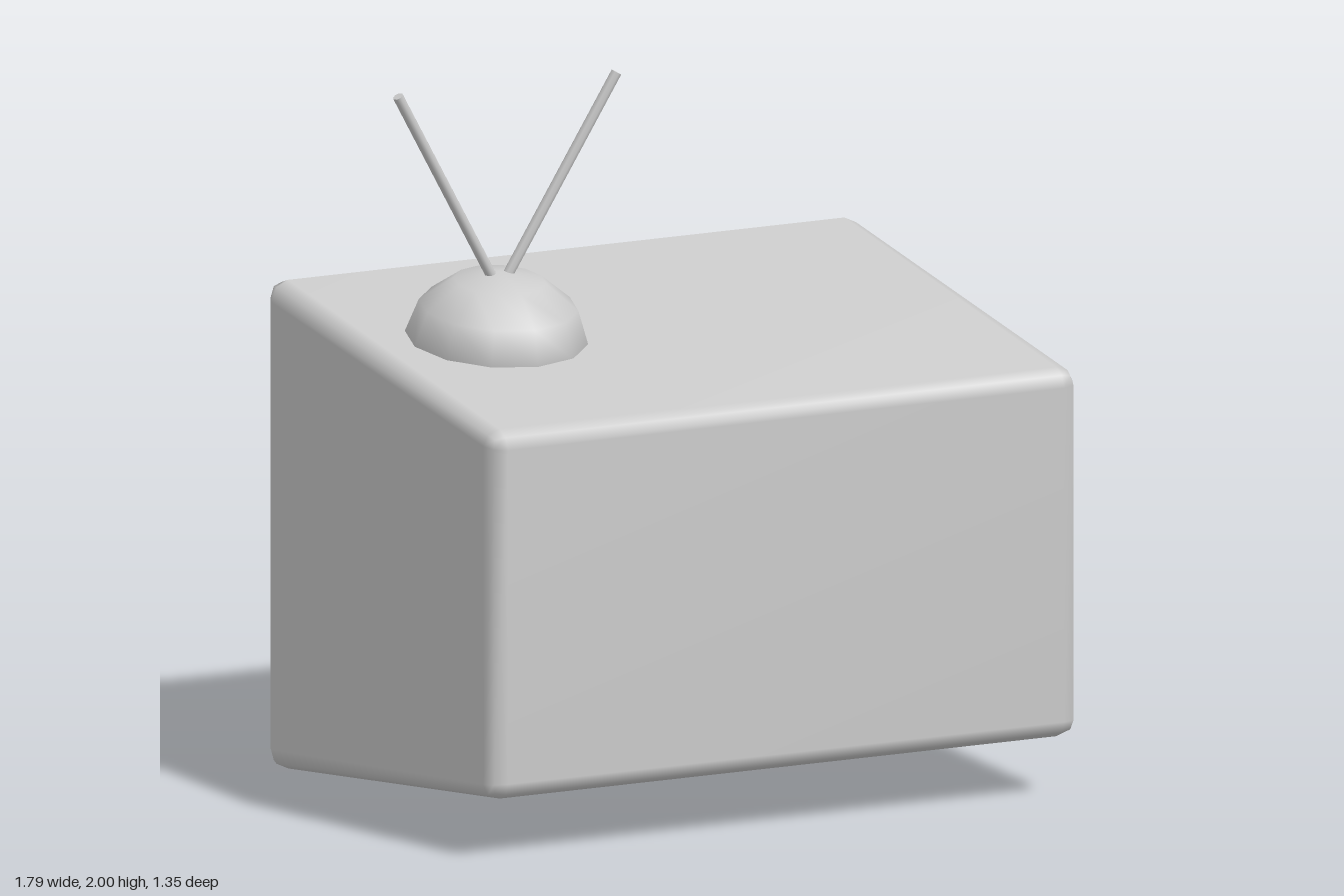
import * as THREE from 'three';
import { RoundedBoxGeometry } from 'three/addons/geometries/RoundedBoxGeometry.js';
import { mergeVertices } from 'three/addons/utils/BufferGeometryUtils.js';

const material = new THREE.MeshStandardMaterial({ color: 0xcccccc });

function addMesh(parent, name, geometry) {
  const mesh = new THREE.Mesh(geometry, material);
  mesh.name = name;
  parent.add(mesh);
  return mesh;
}

// Softly bevelled cabinet that grows taller towards the back
function cabinetGeometry() {
  const half = 0.594;
  const box = new RoundedBoxGeometry(1.79, half * 2, 1.35, 1, 0.05);
  const p = box.attributes.position;
  for (let i = 0; i < p.count; i++) {
    p.setY(i, p.getY(i) * (half - 0.132 * p.getZ(i)) / half);
  }
  box.deleteAttribute('normal');
  box.deleteAttribute('uv');
  const smooth = mergeVertices(box, 1e-4);
  smooth.computeVertexNormals();
  return smooth;
}

// Straight rod between two points
function addRod(parent, name, from, to, radius) {
  const dir = to.clone().sub(from);
  const rod = addMesh(parent, name, new THREE.CylinderGeometry(radius, radius, dir.length(), 8));
  rod.position.copy(from).add(to).multiplyScalar(0.5);
  rod.quaternion.setFromUnitVectors(new THREE.Vector3(0, 1, 0), dir.normalize());
}

export function createModel() {
  const group = new THREE.Group();
  group.name = 'television';

  addMesh(group, 'cabinet', cabinetGeometry()).position.y = 0.677;

  // Squashed dome resting on the sloping top
  const dome = addMesh(group, 'antennaBase', new THREE.SphereGeometry(0.25, 12, 6));
  dome.scale.y = 0.78;
  dome.rotation.x = 0.131;
  dome.position.set(-0.513, 1.272, -0.04);

  // Pair of splayed antenna rods
  for (const side of [-1, 1]) {
    addRod(group, side < 0 ? 'rightAntenna' : 'leftAntenna',
      new THREE.Vector3(-0.513 + side * 0.012, 1.43, -0.022),
      new THREE.Vector3(-0.513 + side * 0.332, 1.99, 0.024), 0.015);
  }
  return group;
}
